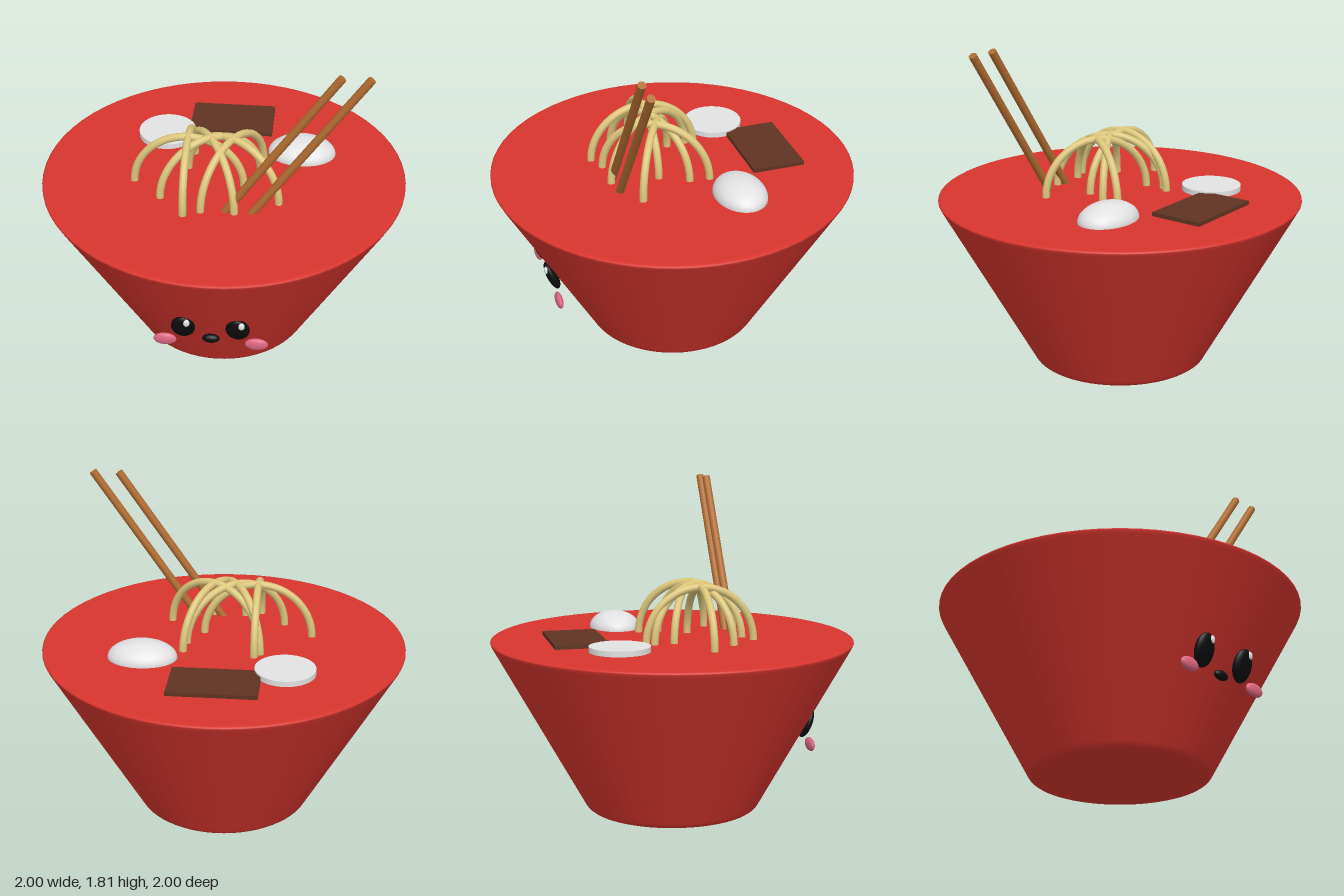
import * as THREE from 'three';

const mat = (name, color) => {
  const m = new THREE.MeshStandardMaterial({ color });
  m.name = name;
  return m;
};

export function createModel() {
  const red = mat('bowl red', 0xd9352e);
  const noodle = mat('noodle yellow', 0xdcc67c);
  const wood = mat('chopstick wood', 0xb06c30);
  const brown = mat('seaweed brown', 0x5f3422);
  const white = mat('egg white', 0xe2e2e2);
  const black = mat('face black', 0x0d0d0d);
  const pink = mat('cheek pink', 0xdb6580);

  const model = new THREE.Group();
  model.name = 'noodleBowl';
  const SURFACE = 0.955;

  const add = (name, geometry, material, x = 0, y = 0, z = 0, parent = model) => {
    const mesh = new THREE.Mesh(geometry, material);
    mesh.name = name;
    mesh.position.set(x, y, z);
    parent.add(mesh);
    return mesh;
  };
  const ellipsoid = (name, material, pos, radii, parent) => {
    const mesh = add(name, new THREE.SphereGeometry(1, 32, 20), material, ...pos, parent);
    mesh.scale.set(...radii);
    return mesh;
  };

  // Filled bowl: tapered wall, rounded foot, fine bevel at the rim
  const profile = [
    [0, 0], [0.445, 0], [0.455, 0.001], [0.47, 0.006], [0.483, 0.016], [0.493, 0.032],
    [0.5, 0.045], [0.99, 0.927], [0.998, 0.943], [0.998, 0.95], [0.99, 0.955], [0.975, 0.955], [0, 0.955],
  ].map(([r, y]) => new THREE.Vector2(r, y));
  add('bowl', new THREE.LatheGeometry(profile, 64), red);

  // Noodle arches: centre x and turn about the vertical
  const noodles = new THREE.Group();
  noodles.name = 'noodles';
  model.add(noodles);
  const arch = new THREE.TorusGeometry(0.3, 0.021, 12, 40, Math.PI);
  [[-0.18, 0], [-0.18, 90], [-0.06, 30], [0.06, -30], [0.06, 60], [-0.06, -60]].forEach(([x, deg]) => {
    add('noodle', arch, noodle, x, 0.953, 0.115, noodles).rotation.y = THREE.MathUtils.degToRad(deg);
  });

  // Two parallel chopsticks leaning to the left, tips sunk in the soup
  const lean = 0.6, length = 1.1;
  for (const topX of [0.62, 0.765]) {
    const stick = add('chopstick', new THREE.CylinderGeometry(0.022, 0.022, length, 16), wood,
      topX - Math.sin(lean) * length / 2, 1.797 - Math.cos(lean) * length / 2, 0.355);
    stick.rotation.z = -lean;
  }

  // Toppings
  ellipsoid('egg', white, [0.418, SURFACE, -0.243], [0.19, 0.095, 0.142]);
  add('fishCake', new THREE.CylinderGeometry(0.163, 0.163, 0.05, 40), white, -0.36, 0.96, -0.365);
  add('seaweed', new THREE.BoxGeometry(0.475, 0.03, 0.295), brown, 0, 0.962, -0.54);

  // Face on the front wall
  const face = new THREE.Group();
  face.name = 'face';
  model.add(face);
  for (const side of [-1, 1]) {
    ellipsoid('eye', black, [side * 0.145, 0.465, 0.74], [0.064, 0.09, 0.03], face).rotation.x = 0.35;
    ellipsoid('eyeHighlight', white, [side * 0.145 + 0.022, 0.518, 0.775], [0.018, 0.023, 0.012], face);
    ellipsoid('cheek', pink, [side * 0.245, 0.363, 0.73], [0.062, 0.037, 0.02], face);
  }
  ellipsoid('mouth', black, [0, 0.376, 0.72], [0.047, 0.026, 0.022], face);

  return model;
}
